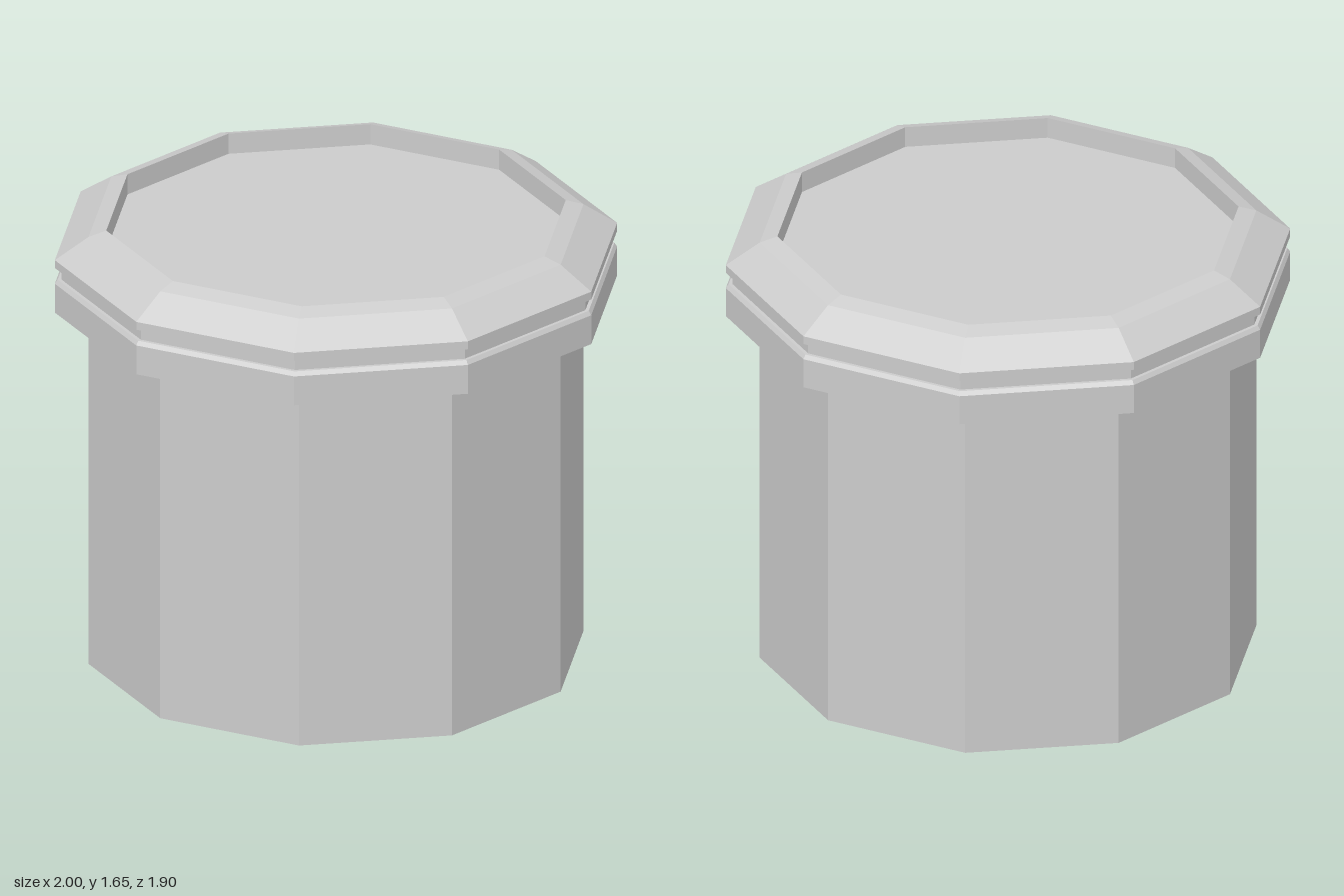
import * as THREE from 'three';

const SIDES = 10;

// Ten-sided turned part from [radius, height] pairs, with corners on the x axis
function turned(name, profile) {
  const points = profile.map(([r, y]) => new THREE.Vector2(r, y));
  const geometry = new THREE.LatheGeometry(points, SIDES, Math.PI / 2);
  const material = new THREE.MeshStandardMaterial({ color: 0xcccccc, flatShading: true });
  const mesh = new THREE.Mesh(geometry, material);
  mesh.name = name;
  return mesh;
}

export function createModel() {
  const model = new THREE.Group();
  model.name = 'lidded jar';

  // Straight body with a closed base
  model.add(turned('body', [[0, 0], [0.88, 0], [0.88, 1.35]]));

  // Lid: lower band, groove, upper band, bevelled rim and sunken top
  model.add(turned('lid', [
    [0.88, 1.35], [1, 1.35], [1, 1.46], [0.99, 1.475],
    [0.977, 1.475], [0.977, 1.52],
    [1, 1.52], [1, 1.55],
    [0.88, 1.63], [0.817, 1.65],
    [0.817, 1.573], [0, 1.573],
  ]));

  return model;
}
